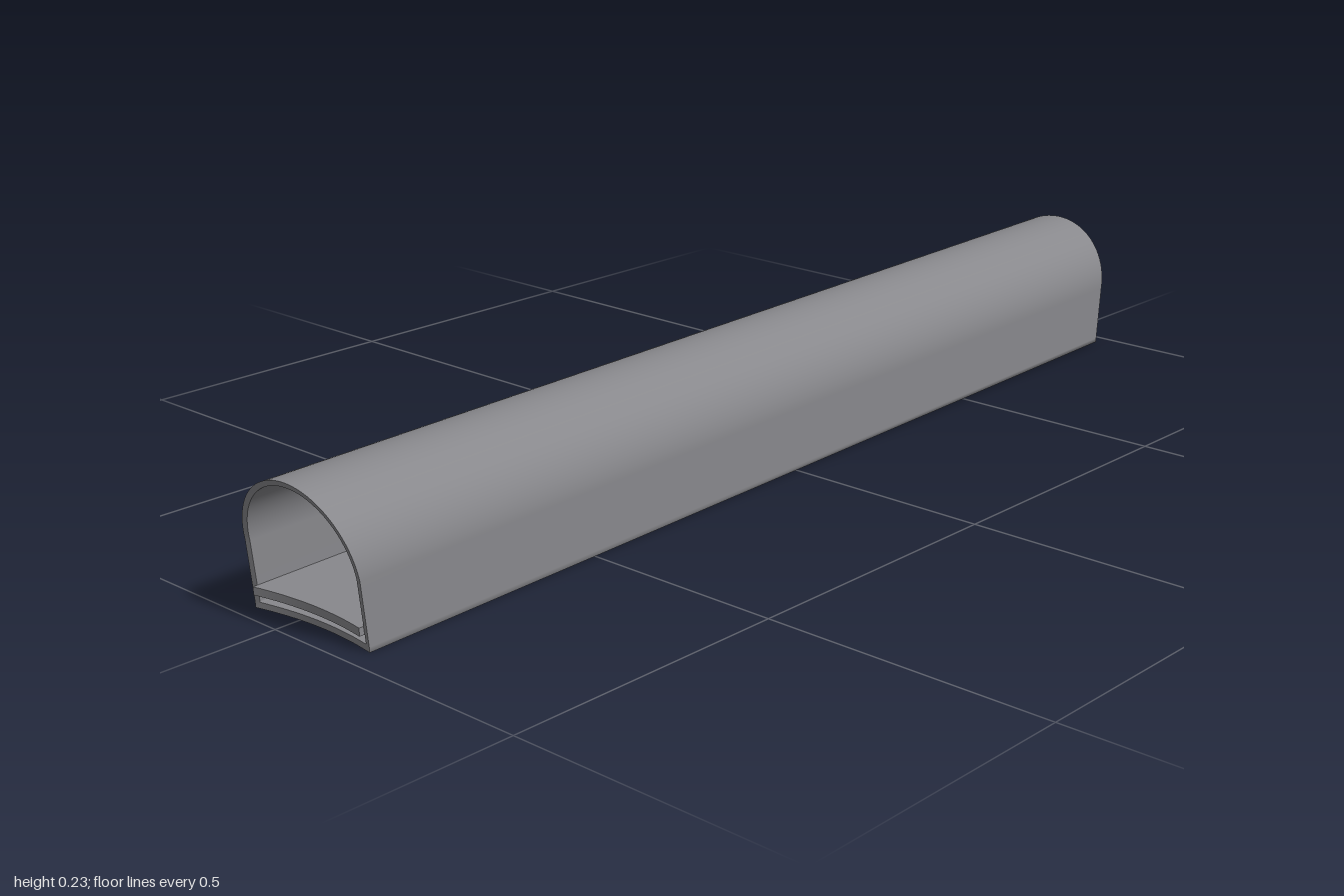
import * as THREE from 'three';
import { mergeGeometries } from 'three/addons/utils/BufferGeometryUtils.js';

// Both mouths are cut to a spherical surface: the floor edge is hollow, the crown reaches furthest
const reach = (y, z) => 1 - 0.85 * (0.0552 - y * y - z * z);

// Arched cross-section as [z, y]: up the left wall, over the crown, down and back along the floor
function profile(half, base, spring, step) {
  const pts = [[half, base], [half, base + step]];
  const arc = 40, floor = 14;
  for (let i = 0; i <= arc; i++) {
    const a = (Math.PI * i) / arc;
    pts.push([half * Math.cos(a), spring + half * Math.sin(a)]);
  }
  pts.push([-half, base + step], [-half, base]);
  const w = half - step;
  for (let i = 0; i <= floor; i++) pts.push([-w + (2 * w * i) / floor, base]);
  return pts;
}

// Places a cross-section on the cut surface of one end
const atEnd = (pts, side) => pts.map(([z, y]) => [side * reach(y, z), y, z]);

// Closed band of faces between two matching loops
function band(a, b) {
  const n = a.length, index = [];
  for (let i = 0; i < n; i++) {
    const j = (i + 1) % n;
    index.push(i, n + i, n + j, i, n + j, j);
  }
  const g = new THREE.BufferGeometry();
  g.setAttribute('position', new THREE.Float32BufferAttribute([...a, ...b].flat(), 3));
  g.setIndex(index);
  g.computeVertexNormals();
  return g;
}

export function createModel() {
  const group = new THREE.Group();
  group.name = 'tunnel';
  const grey = new THREE.MeshStandardMaterial({ color: 0x88888c });
  grey.name = 'grey';

  // Shell: outer skin, right rim, inner skin, left rim
  const outer = profile(0.124, 0, 0.11, 0.008);
  const inner = profile(0.115, 0.01, 0.11, 0.003);
  const loops = [atEnd(outer, -1), atEnd(outer, 1), atEnd(inner, 1), atEnd(inner, -1)];
  const shell = new THREE.Mesh(
    mergeGeometries(loops.map((loop, i) => band(loop, loops[(i + 1) % 4]))), grey);
  shell.name = 'tunnelShell';
  group.add(shell);

  // Raised walkway, its hollow ends standing slightly proud of the rims
  const deck = new THREE.BoxGeometry(2, 0.013, 0.23, 1, 1, 16);
  deck.translate(0, 0.0315, 0);
  const p = deck.attributes.position;
  for (let i = 0; i < p.count; i++) {
    p.setX(i, Math.sign(p.getX(i)) * (reach(0.0315, p.getZ(i)) + 0.01));
  }
  deck.computeVertexNormals();
  const walkway = new THREE.Mesh(deck, grey);
  walkway.name = 'walkway';
  group.add(walkway);

  // The tunnel runs slightly askew
  group.rotation.y = 0.04;
  return group;
}
